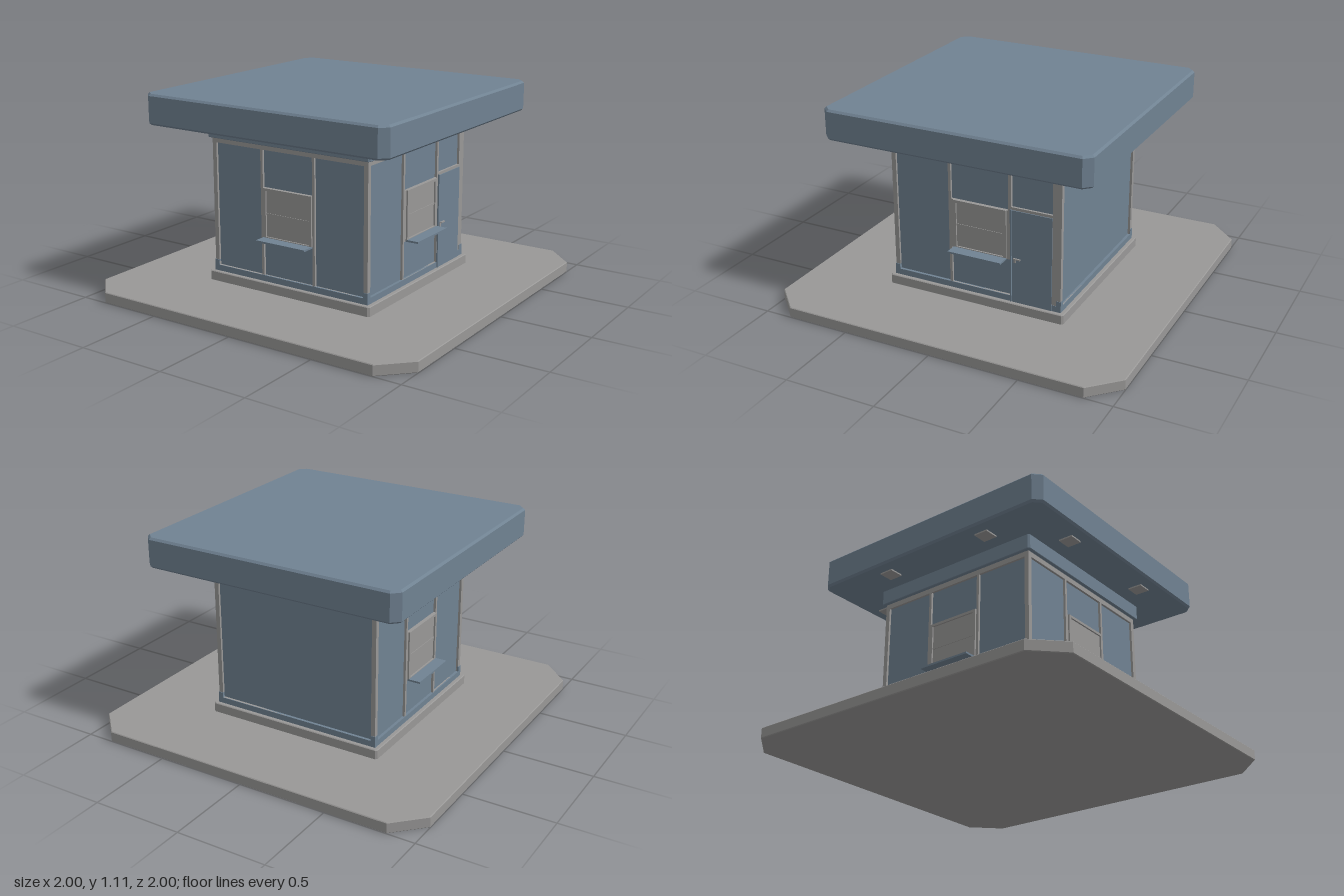
import * as THREE from 'three';

const slate = new THREE.MeshStandardMaterial({ color: 0x708292 });
slate.name = 'slate blue';
const grey = new THREE.MeshStandardMaterial({ color: 0x999897 });
grey.name = 'stone grey';

// Box given by its min and max corners
function box(parent, name, mat, x0, x1, y0, y1, z0, z1) {
  const m = new THREE.Mesh(new THREE.BoxGeometry(x1 - x0, y1 - y0, z1 - z0), mat);
  m.position.set((x0 + x1) / 2, (y0 + y1) / 2, (z0 + z1) / 2);
  m.name = name;
  parent.add(m);
  return m;
}

// Square plate with cut corners and slightly bevelled rims
function plate(parent, name, mat, half, cut, y0, y1, bevel) {
  const h = half - bevel, c = h - cut;
  const pts = [[h, -c], [h, c], [c, h], [-c, h], [-h, c], [-h, -c], [-c, -h], [c, -h]];
  const shape = new THREE.Shape(pts.map(([x, y]) => new THREE.Vector2(x, y)));
  const geo = new THREE.ExtrudeGeometry(shape, {
    depth: y1 - y0 - 2 * bevel, bevelEnabled: true,
    bevelSize: bevel, bevelThickness: bevel, bevelSegments: 1,
  });
  geo.rotateX(-Math.PI / 2);
  geo.translate(0, y0 + bevel, 0);
  const m = new THREE.Mesh(geo, mat);
  m.name = name;
  parent.add(m);
}

function rect(Type, [x0, x1, y0, y1]) {
  return new Type([[x0, y0], [x1, y0], [x1, y1], [x0, y1]].map(([x, y]) => new THREE.Vector2(x, y)));
}

// Flat rectangular frame with rectangular openings
function frame(parent, name, mat, outer, holes, z0, z1) {
  const shape = rect(THREE.Shape, outer);
  shape.holes = holes.map((h) => rect(THREE.Path, h));
  const geo = new THREE.ExtrudeGeometry(shape, { depth: z1 - z0, bevelEnabled: false });
  geo.translate(0, 0, z0);
  const m = new THREE.Mesh(geo, mat);
  m.name = name;
  parent.add(m);
}

// Window with crossed bars and a projecting counter, centred on x = cx
function addWindow(wall, cx) {
  const g = new THREE.Group();
  g.name = 'serviceWindow';
  g.position.x = cx;
  frame(g, 'windowFrame', grey, [-0.155, 0.155, 0.36, 0.632], [[-0.138, 0.138, 0.366, 0.618]], 0.48, 0.504);
  box(g, 'windowPane', slate, -0.14, 0.14, 0.362, 0.62, 0.475, 0.486);
  box(g, 'horizontalBar', grey, -0.138, 0.138, 0.485, 0.496, 0.484, 0.498);
  box(g, 'verticalBar', grey, -0.004, 0.004, 0.39, 0.575, 0.484, 0.491);
  box(g, 'counter', slate, -0.155, 0.155, 0.352, 0.362, 0.48, 0.57);
  wall.add(g);
}

// One wall facing +z, turned into place
function addWall(parent, name, angle, holes, windowX) {
  const wall = new THREE.Group();
  wall.name = name;
  frame(wall, 'wallFrame', grey, [-0.495, 0.495, 0.145, 0.87], holes, 0.478, 0.495);
  if (windowX !== undefined) addWindow(wall, windowX);
  wall.rotation.y = angle;
  parent.add(wall);
  return wall;
}

export function createModel() {
  const model = new THREE.Group();
  model.name = 'kiosk';

  // Ground slab, plinth and wall core
  plate(model, 'groundSlab', grey, 1, 0.15, 0, 0.06, 0.004);
  plate(model, 'plinth', grey, 0.52, 0.008, 0.05, 0.113, 0.004);
  box(model, 'wallPanels', slate, -0.482, 0.482, 0.1, 0.9, -0.482, 0.482);
  box(model, 'skirting', slate, -0.498, 0.498, 0.11, 0.146, -0.498, 0.498);
  for (const sx of [-1, 1]) for (const sz of [-1, 1]) {
    const foot = box(model, 'postFoot', slate, -0.014, 0.014, 0.14, 0.175, -0.014, 0.014);
    foot.position.x = sx * 0.484;
    foot.position.z = sz * 0.484;
  }

  // Walls
  const bays = [
    [-0.47, -0.175, 0.146, 0.835], [0.17, 0.47, 0.146, 0.835],
    [-0.16, 0.155, 0.632, 0.835], [-0.16, 0.155, 0.146, 0.354],
  ];
  addWall(model, 'frontWall', 0, bays, 0);
  addWall(model, 'rightWall', -Math.PI / 2, bays, 0);
  addWall(model, 'backWall', Math.PI, [[-0.47, 0.47, 0.146, 0.835]]);
  const doorWall = addWall(model, 'leftWall', Math.PI / 2, [
    [-0.47, -0.155, 0.146, 0.835], [-0.14, 0.195, 0.632, 0.835],
    [-0.14, 0.205, 0.146, 0.354], [0.212, 0.445, 0.655, 0.835],
  ], 0.03);

  // Door with lever handle
  box(doorWall, 'door', slate, 0.217, 0.445, 0.113, 0.64, 0.48, 0.5);
  box(doorWall, 'doorJamb', slate, 0.208, 0.215, 0.113, 0.645, 0.48, 0.504);
  box(doorWall, 'handlePlate', grey, 0.229, 0.241, 0.345, 0.372, 0.499, 0.504);
  box(doorWall, 'handleLever', grey, 0.23, 0.268, 0.366, 0.373, 0.503, 0.512);

  // Top beam and flat roof
  plate(model, 'topBeam', slate, 0.515, 0.008, 0.863, 0.95, 0.003);
  plate(model, 'roof', slate, 0.75, 0.036, 0.945, 1.112, 0.011);

  // Recessed lights under the eaves, two per side
  for (let i = 0; i < 4; i++) {
    const side = new THREE.Group();
    side.name = 'eaveLights';
    side.rotation.y = i * Math.PI / 2;
    for (const x of [-0.33, 0.33]) {
      box(side, 'eaveLight', grey, x - 0.04, x + 0.04, 0.937, 0.946, 0.6, 0.68);
    }
    model.add(side);
  }
  return model;
}
